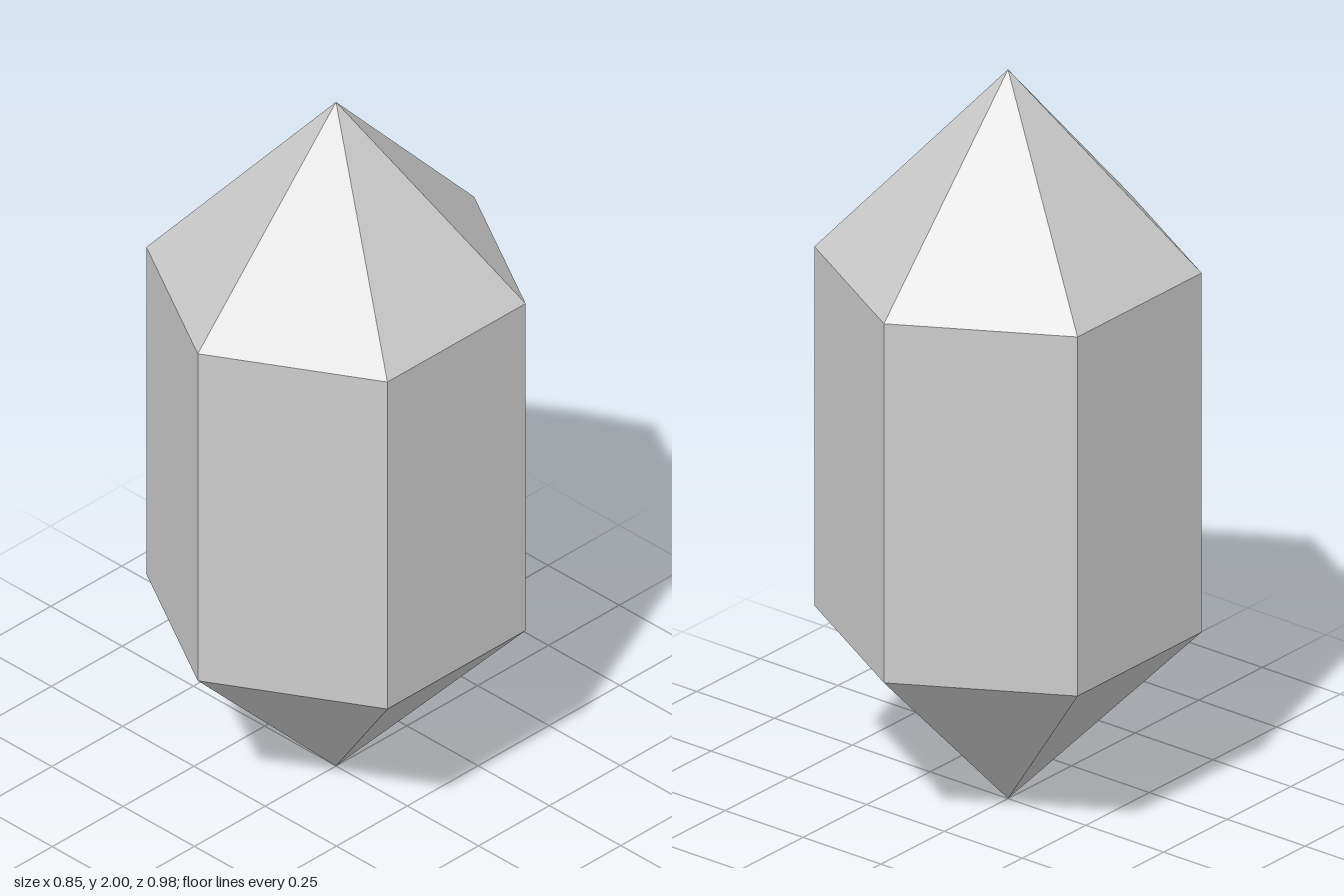
import * as THREE from 'three';

const RADIUS = 0.488;
const SIDES = 6;

export function createModel() {
  const crystal = new THREE.Group();
  crystal.name = 'crystal';
  const material = new THREE.MeshStandardMaterial({ color: 0xcccccc, flatShading: true });

  // One open six-sided section between two heights
  const addSection = (name, bottomRadius, topRadius, y0, y1) => {
    const geometry = new THREE.CylinderGeometry(topRadius, bottomRadius, y1 - y0, SIDES, 1, true);
    const mesh = new THREE.Mesh(geometry, material);
    mesh.name = name;
    mesh.position.y = (y0 + y1) / 2;
    crystal.add(mesh);
  };

  addSection('lowerPoint', 0, RADIUS, 0, 0.493);
  addSection('prismBody', RADIUS, RADIUS, 0.493, 1.478);
  addSection('upperPoint', RADIUS, 0, 1.478, 2);

  return crystal;
}
